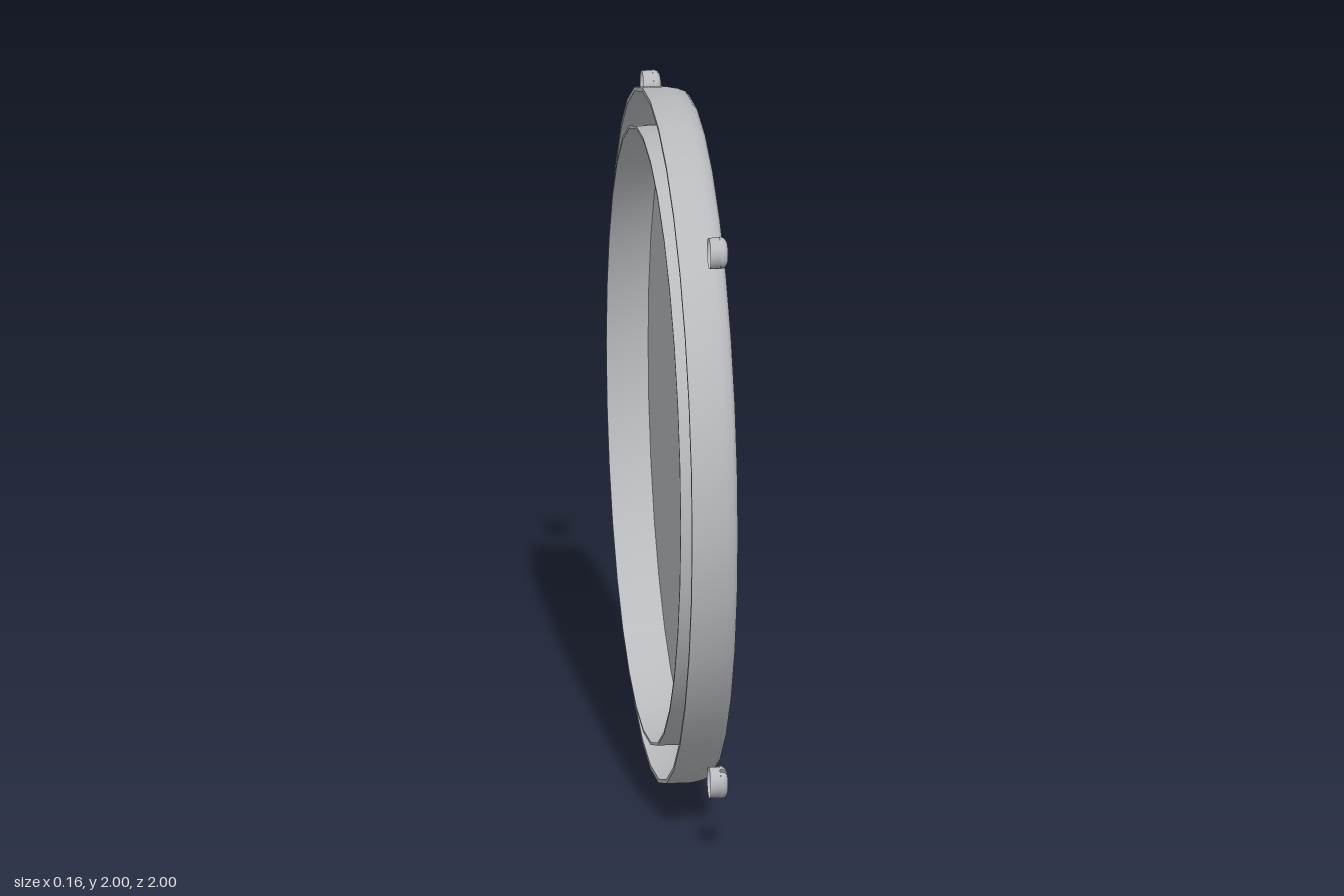
import * as THREE from 'three';
import { toCreasedNormals } from 'three/addons/utils/BufferGeometryUtils.js';

const SEGMENTS = 32;
const metal = new THREE.MeshStandardMaterial({ color: 0xb8babe, side: THREE.DoubleSide });
metal.name = 'grey metal';

const toPoints = (list) => list.map(([r, h]) => new THREE.Vector2(r, h));

function addMesh(parent, name, geometry, crease = 0.8) {
  const mesh = new THREE.Mesh(toCreasedNormals(geometry, crease), metal);
  mesh.name = name;
  parent.add(mesh);
  return mesh;
}

function lathe(profile, segments = SEGMENTS, start = 0, sweep = Math.PI * 2) {
  return new THREE.LatheGeometry(toPoints(profile), segments, start, sweep);
}

// Domed slotted screw head, hollow at the back, built along +y
function createScrew() {
  const screw = new THREE.Group();
  screw.name = 'screw';
  const R = 0.045, gap = 0.006, floor = 0.042;

  // Side wall below the slot and the slot floor
  addMesh(screw, 'screwBase', lathe([[R, 0.012], [R, floor], [0, floor]], 20));

  // Two dome halves on either side of the slot
  const dome = [[R, floor], [R, 0.049], [0.041, 0.057], [0.032, 0.063], [0.018, 0.066], [0, 0.067]];
  const outline = [...dome, ...dome.slice(0, -1).reverse().map(([r, h]) => [-r, h])];
  for (const turn of [0, Math.PI]) {
    const half = lathe(dome, 10, 0, Math.PI);
    half.scale((R - gap) / R, 1, 1).translate(gap, 0, 0).rotateY(turn);
    addMesh(screw, 'screwDome', half);
    const wall = new THREE.ShapeGeometry(new THREE.Shape(toPoints(outline)));
    wall.rotateY(-Math.PI / 2).translate(gap, 0, 0).rotateY(turn);
    addMesh(screw, 'slotWall', wall);
  }
  return screw;
}

export function createModel() {
  const model = new THREE.Group();
  model.name = 'roundCover';

  // Shallow cup with a rounded bead around its flat face
  const cover = addMesh(model, 'coverShell', lathe([
    [0, 0.04], [0.965, 0.04], [0.982, 0.02], [0.988, -0.06],
    [1, -0.06], [1, 0.012], [0.994, 0.042], [0.985, 0.064], [0.972, 0.075],
    [0.957, 0.075], [0.945, 0.07], [0.935, 0.063], [0, 0.063],
  ]));

  // Thin inner collar standing out of the open back
  const collar = addMesh(model, 'innerCollar', lathe([
    [0.882, 0.041], [0.882, -0.08], [0.89, -0.08], [0.89, 0.041],
  ]));

  for (const part of [cover, collar]) {
    part.rotation.z = -Math.PI / 2;
    part.position.y = 1;
  }

  // Four corner screws: z side, y side, slot angle in degrees
  for (const [sz, sy, angle] of [[1, 1, 62], [-1, 1, 12], [1, -1, -65], [-1, -1, -40]]) {
    const screw = createScrew();
    screw.rotation.set(THREE.MathUtils.degToRad(angle), 0, -Math.PI / 2);
    screw.position.set(0, 1 + sy * 0.793, sz * 0.8);
    model.add(screw);
  }
  return model;
}
